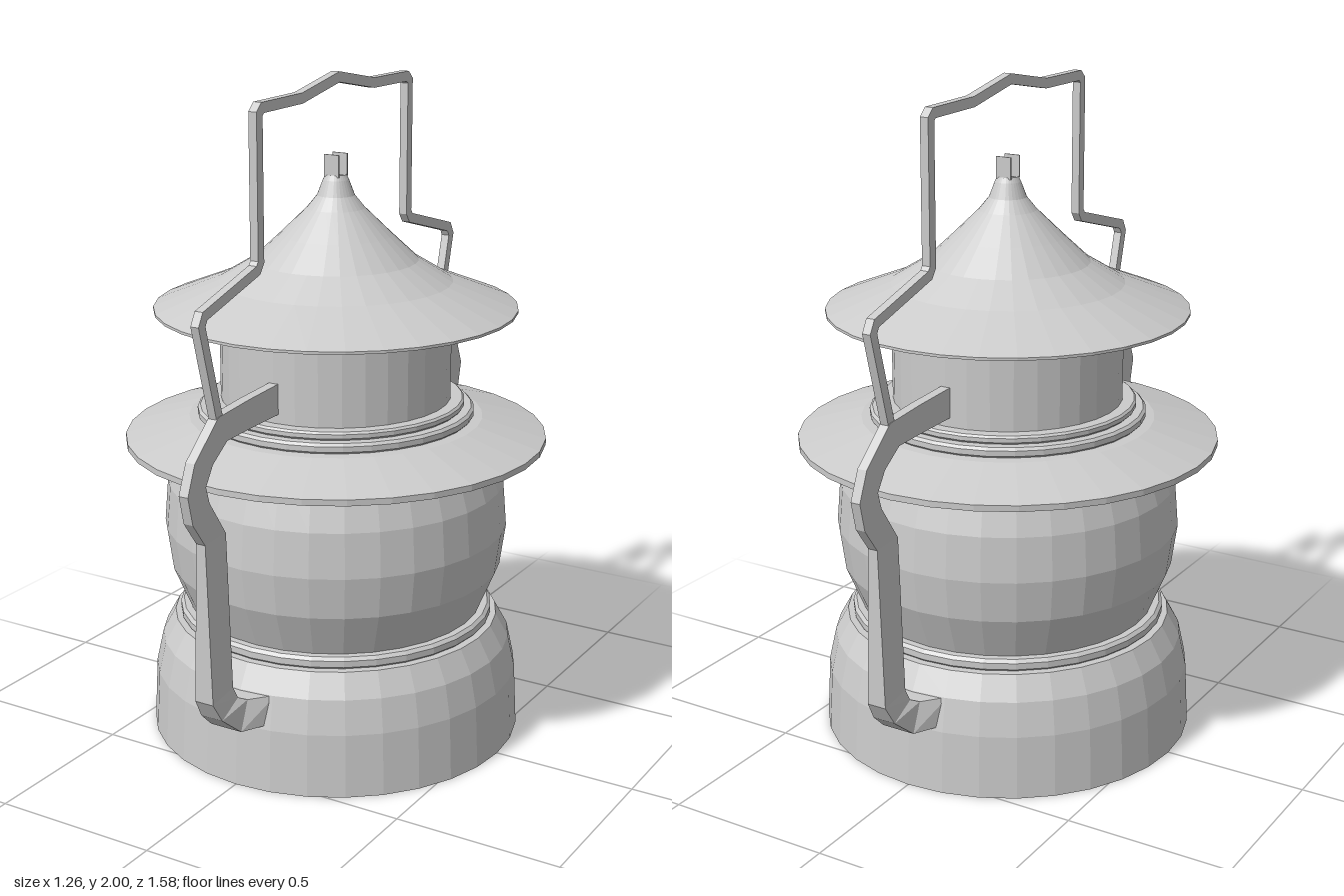
import * as THREE from 'three';

const SEGMENTS = 32;
const material = new THREE.MeshStandardMaterial({ color: 0xcccccc, flatShading: true, side: THREE.DoubleSide });

function addMesh(parent, name, geometry) {
  const mesh = new THREE.Mesh(geometry, material);
  mesh.name = name;
  parent.add(mesh);
  return mesh;
}

// Surface of revolution from [radius, height] pairs
function lathe(parent, name, profile) {
  const points = profile.map(([r, y]) => new THREE.Vector2(r, y));
  return addMesh(parent, name, new THREE.LatheGeometry(points, SEGMENTS));
}

// Rounded bead standing out from radius r between two heights
function bead(parent, name, inner, outer, y0, y1) {
  const c = (y1 - y0) * 0.25;
  lathe(parent, name, [[inner, y0], [outer - c, y0], [outer, y0 + c], [outer, y1 - c], [outer - c, y1], [inner, y1]]);
}

// Flat bar lofted through stations [outerZ, outerY, innerZ, innerY, halfWidth]
function bar(stations) {
  const positions = [], index = [];
  for (const [zo, yo, zi, yi, w] of stations) {
    positions.push(w, yo, zo, -w, yo, zo, -w, yi, zi, w, yi, zi);
  }
  const last = (stations.length - 1) * 4;
  for (let s = 0; s < last; s += 4) {
    for (let k = 0; k < 4; k++) {
      const a = s + k, b = s + (k + 1) % 4;
      index.push(a, b, a + 4, b, b + 4, a + 4);
    }
  }
  index.push(0, 2, 1, 0, 3, 2, last, last + 1, last + 2, last, last + 2, last + 3);
  const geometry = new THREE.BufferGeometry();
  geometry.setAttribute('position', new THREE.Float32BufferAttribute(positions, 3));
  geometry.setIndex(index);
  geometry.computeVertexNormals();
  return geometry;
}

// Mitred stations along a centre line of [z, y] points
function mitre(path, half, width) {
  return path.map(([z, y], i) => {
    const p = new THREE.Vector2(z, y);
    const before = new THREE.Vector2(...path[Math.max(i - 1, 0)]);
    const after = new THREE.Vector2(...path[Math.min(i + 1, path.length - 1)]);
    const d1 = p.clone().sub(before).normalize();
    const d2 = after.sub(p).normalize();
    const t = d1.clone().add(d2).normalize();
    const reach = half / Math.max(0.5, t.dot(d1.lengthSq() > 0 ? d1 : d2));
    return [z + t.y * reach, y - t.x * reach, z - t.y * reach, y + t.x * reach, width];
  });
}

export function createModel() {
  const lantern = new THREE.Group();
  lantern.name = 'lantern';

  // Open-bottomed base and globe
  lathe(lantern, 'base', [[0.566, 0], [0.556, 0.19], [0.534, 0.29], [0.495, 0.36], [0.45, 0.36]]);
  bead(lantern, 'baseRing', 0.44, 0.478, 0.357, 0.395);
  lathe(lantern, 'globe', [[0.445, 0.39], [0.502, 0.527], [0.519, 0.653], [0.508, 0.786], [0.455, 0.955]]);

  // Wide collar and its stepped rings
  lathe(lantern, 'collar', [[0.455, 0.955], [0.63, 0.912], [0.63, 0.93], [0.44, 0.985], [0.39, 0.988]]);
  bead(lantern, 'collarLowerRing', 0.37, 0.414, 0.985, 1.017);
  bead(lantern, 'collarUpperRing', 0.34, 0.385, 1.017, 1.042);

  // Chimney under a flared conical roof
  lathe(lantern, 'chimney', [[0.344, 1.03], [0.344, 1.39]]);
  lathe(lantern, 'roof', [
    [0.344, 1.385], [0.538, 1.31], [0.538, 1.318], [0.345, 1.395], [0.243, 1.457],
    [0.165, 1.53], [0.085, 1.608], [0.055, 1.645], [0.038, 1.69], [0.03, 1.705],
  ]);

  // Finial made of two upright plates
  const finial = new THREE.Group();
  finial.name = 'finial';
  for (const side of [1, -1]) {
    const plate = addMesh(finial, 'finialPlate', new THREE.BoxGeometry(0.05, 0.065, 0.004));
    plate.position.set(0, 1.732, side * 0.024);
  }
  lantern.add(finial);

  // Side frames, flaring into brackets where they meet the base
  const frame = [
    [0.33, 1.16, 0.33, 1.07, 0.015],
    [0.49, 1.152, 0.49, 1.067, 0.015],
    [0.64, 1.14, 0.60, 1.063, 0.015],
    [0.755, 1.04, 0.67, 1.015, 0.015],
    [0.79, 0.955, 0.705, 0.96, 0.015],
    [0.77, 0.87, 0.69, 0.91, 0.015],
    [0.715, 0.795, 0.615, 0.80, 0.015],
    [0.715, 0.32, 0.615, 0.335, 0.03],
    [0.68, 0.26, 0.60, 0.30, 0.036],
    [0.61, 0.20, 0.575, 0.287, 0.052],
    [0.51, 0.20, 0.51, 0.287, 0.105],
  ];
  for (const side of [1, -1]) {
    const mesh = addMesh(lantern, side > 0 ? 'frontFrame' : 'backFrame', bar(frame));
    if (side < 0) mesh.rotation.y = Math.PI;
  }

  // Bent carrying handle, mirrored front to back
  const half = [
    [0.63, 1.13], [0.705, 1.405], [0.69, 1.432], [0.432, 1.505], [0.418, 1.525],
    [0.418, 1.93], [0.402, 1.945], [0.2, 1.947],
  ];
  const path = [...half, [0, 1.985], ...half.map(([z, y]) => [-z, y]).reverse()];
  addMesh(lantern, 'handle', bar(mitre(path, 0.015, 0.013)));

  return lantern;
}
